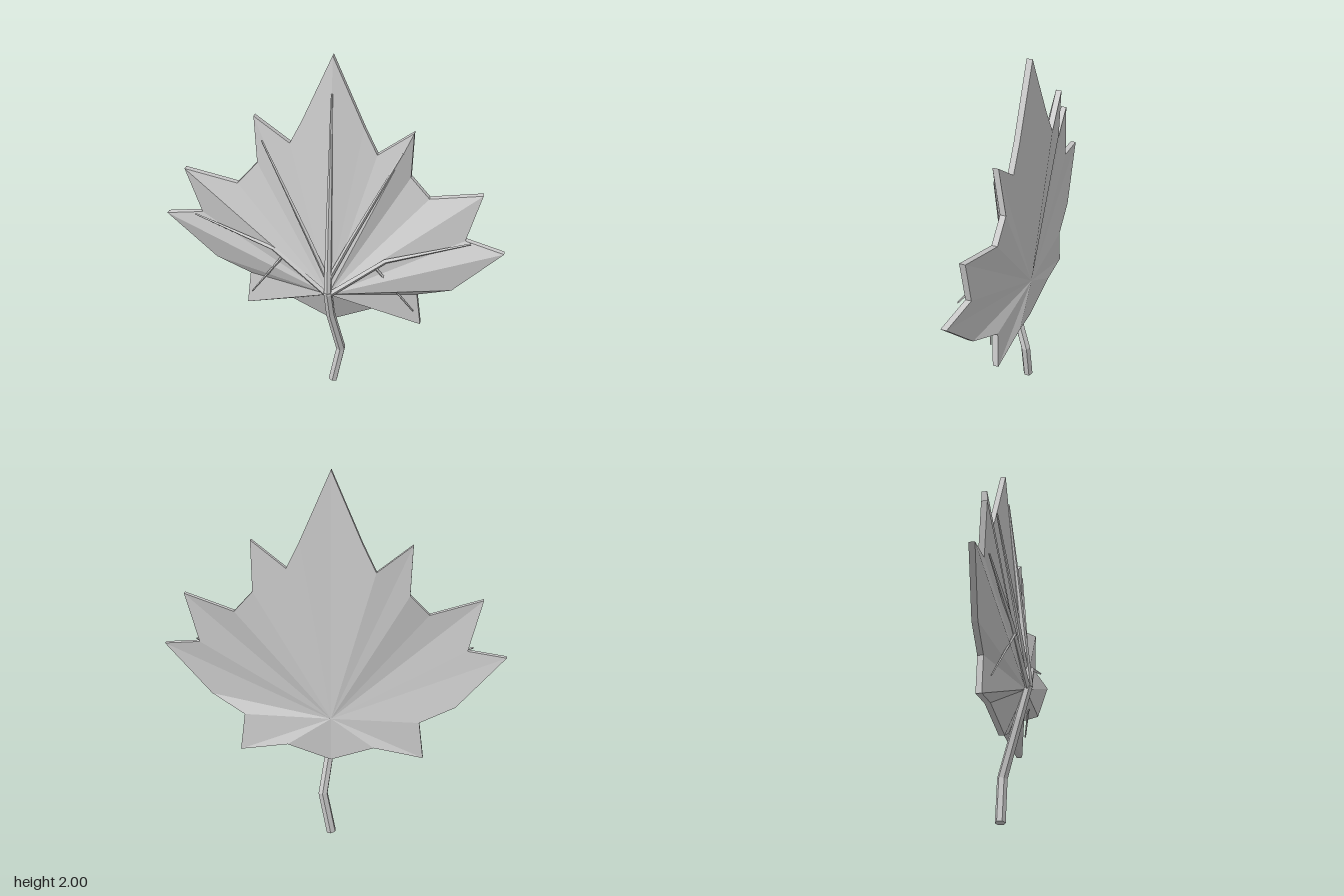
import * as THREE from 'three';

const material = new THREE.MeshStandardMaterial({ color: 0xcccccc, flatShading: true, side: THREE.DoubleSide });
const THICKNESS = 0.03;
const FRONT_HUB = [0, 0.69, 0.064];
const BACK_HUB = [0, 0.69, -0.08];

// Outline of the front face, counter-clockwise from the top tip: x, y, z
const OUTLINE = [
  [0, 2, -0.045], [-0.16, 1.64, -0.065], [-0.23, 1.5, -0.075], [-0.41, 1.64, -0.06], [-0.4, 1.38, -0.055],
  [-0.5, 1.27, -0.015], [-0.77, 1.345, 0.022], [-0.7, 1.08, -0.005], [-0.9, 1.05, -0.003],
  [-0.65, 0.78, -0.042], [-0.465, 0.69, -0.055], [-0.49, 0.488, -0.055], [-0.23, 0.54, -0.07],
  [0, 0.45, -0.045], [0.23, 0.54, -0.07], [0.49, 0.488, -0.045], [0.465, 0.69, -0.035],
  [0.65, 0.78, 0.02], [0.9, 1.05, 0.04], [0.7, 1.08, 0.0], [0.77, 1.345, -0.008],
  [0.5, 1.27, -0.055], [0.4, 1.38, -0.06], [0.41, 1.64, -0.03], [0.23, 1.5, -0.035], [0.16, 1.64, -0.04],
];

function geometryFrom(positions) {
  const g = new THREE.BufferGeometry();
  g.setAttribute('position', new THREE.Float32BufferAttribute(positions, 3));
  g.computeVertexNormals();
  return g;
}

// Pleated blade: a raised fan in front, a flatter fan behind and a rim between them
function bladeGeometry() {
  const p = [];
  const back = ([x, y, z]) => [x, y, z - THICKNESS];
  OUTLINE.forEach((a, i) => {
    const b = OUTLINE[(i + 1) % OUTLINE.length];
    p.push(...FRONT_HUB, ...a, ...b);
    p.push(...BACK_HUB, ...back(b), ...back(a));
    p.push(...a, ...back(a), ...back(b), ...a, ...back(b), ...b);
  });
  return geometryFrom(p);
}

// Faceted rod along a bent path, with a radius for each point
function rodGeometry(path, radii, sides) {
  const pts = path.map((q) => new THREE.Vector3(...q));
  const rings = pts.map((c, i) => {
    const dir = pts[Math.min(i + 1, pts.length - 1)].clone().sub(pts[Math.max(i - 1, 0)]).normalize();
    const u = new THREE.Vector3(0, 0, 1).addScaledVector(dir, -dir.z).normalize();
    const v = dir.clone().cross(u);
    return Array.from({ length: sides }, (_, k) => {
      const t = (k / sides) * Math.PI * 2;
      return c.clone().addScaledVector(u, Math.cos(t) * radii[i]).addScaledVector(v, Math.sin(t) * radii[i]);
    });
  });
  const p = [];
  const tri = (...vs) => vs.forEach((q) => p.push(q.x, q.y, q.z));
  const last = rings.length - 1;
  for (let k = 0; k < sides; k++) {
    const n = (k + 1) % sides;
    for (let i = 0; i < last; i++) {
      tri(rings[i][k], rings[i][n], rings[i + 1][n]);
      tri(rings[i][k], rings[i + 1][n], rings[i + 1][k]);
    }
    tri(pts[0], rings[0][n], rings[0][k]);
    tri(pts[last], rings[last][k], rings[last][n]);
  }
  return geometryFrom(p);
}

export function createModel() {
  const leaf = new THREE.Group();
  leaf.name = 'leaf';
  const add = (name, geometry) => {
    const mesh = new THREE.Mesh(geometry, material);
    mesh.name = name;
    leaf.add(mesh);
  };

  add('blade', bladeGeometry());

  // Bent stalk running up into the middle vein
  add('stem', rodGeometry(
    [[0, 0.005, -0.065], [0.045, 0.24, -0.065], [0.005, 0.54, 0.028], [0, 0.72, 0.08]],
    [0.027, 0.027, 0.025, 0.023], 6));
  add('middleVein', rodGeometry([[0, 0.7, 0.08], [0, 1.1, 0.043], [0, 1.81, -0.027]], [0.022, 0.017, 0.005], 6));

  // Mirrored veins
  for (const [side, s] of [['left', 1], ['right', -1]]) {
    add(side + 'UpperVein', rodGeometry([[0, 0.78, 0.068], [s * 0.12, 1.04, 0.042], [s * 0.36, 1.53, -0.018]],
      [0.013, 0.011, 0.005], 4));
    add(side + 'SideVein', rodGeometry([[0, 0.69, 0.075], [s * 0.3, 0.93, 0.045], [s * 0.73, 1.08, 0.025]],
      [0.016, 0.013, 0.005], 4));
    add(side + 'LowerVein', rodGeometry([[s * 0.255, 0.885, 0.056], [s * 0.45, 0.59, -0.02]], [0.008, 0.004], 4));
  }
  return leaf;
}
